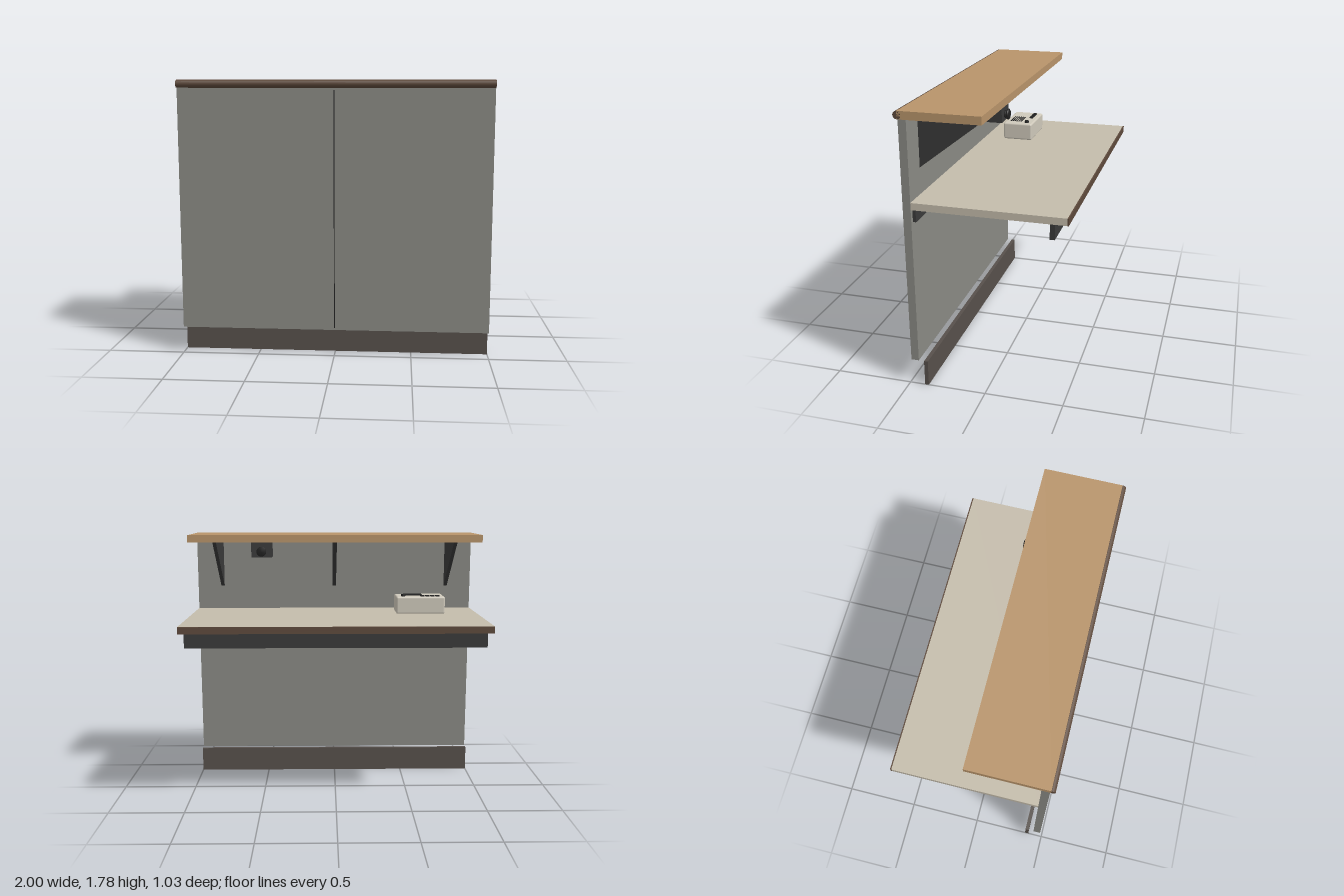
import * as THREE from 'three';
import { RoundedBoxGeometry } from 'three/addons/geometries/RoundedBoxGeometry.js';

const mat = (color) => new THREE.MeshStandardMaterial({ color });
const wood = mat(0xb8946a);
const brown = mat(0x5e4a3c);
const panelGrey = mat(0x8a8a84);
const kickGrey = mat(0x57504b);
const laminate = mat(0xc4bcab);
const steel = mat(0x3a3a3a);
const black = mat(0x222222);
const casing = mat(0xcfc9bb);

export function createModel() {
  const root = new THREE.Group();

  const add = (name, geometry, material, parent = root) => {
    const mesh = new THREE.Mesh(geometry, material);
    mesh.name = name;
    parent.add(mesh);
    return mesh;
  };
  // Box given by its lower and upper limits on each axis
  const box = (name, material, [x0, x1], [y0, y1], [z0, z1], parent) => {
    const g = new THREE.BoxGeometry(x1 - x0, y1 - y0, z1 - z0);
    g.translate((x0 + x1) / 2, (y0 + y1) / 2, (z0 + z1) / 2);
    return add(name, g, material, parent);
  };
  const group = (name) => {
    const g = new THREE.Group();
    g.name = name;
    root.add(g);
    return g;
  };

  // Front panel, its centre joint and the recessed plinth
  box('frontPanel', panelGrey, [-1, 1], [0.17, 1.735], [0.435, 0.485]);
  box('panelJoint', black, [-0.003, 0.003], [0.185, 1.72], [0.48, 0.486]);
  box('plinth', kickGrey, [-1, 1], [0, 0.17], [0.375, 0.4]);

  // Raised counter top with a rounded front nosing
  box('counterTop', wood, [-1, 1], [1.735, 1.785], [-0.015, 0.49]);
  const nosing = new THREE.CylinderGeometry(0.025, 0.025, 2, 24);
  nosing.rotateZ(Math.PI / 2);
  add('counterNosing', nosing, brown).position.set(0, 1.76, 0.49);

  // Work surface with edge band and support rails
  box('workSurface', laminate, [-1, 1], [1.19, 1.235], [-0.507, 0.435]);
  box('workSurfaceEdge', brown, [-1, 1], [1.19, 1.235], [-0.515, -0.507]);
  box('wallRail', steel, [-0.975, 0.975], [1.105, 1.19], [0.415, 0.435]);
  box('outerRail', steel, [-0.975, 0.975], [1.085, 1.19], [-0.43, -0.4]);

  // Triangular brackets under the counter
  const tri = new THREE.Shape([[-0.435, 1.735], [-0.435, 1.4], [0, 1.735]]
    .map(([a, b]) => new THREE.Vector2(a, b)));
  const bracket = new THREE.ExtrudeGeometry(tri, { depth: 0.024, bevelEnabled: false });
  bracket.translate(0, 0, -0.012);
  bracket.rotateY(Math.PI / 2);
  for (const x of [-0.82, 0, 0.82]) add('counterBracket', bracket, steel).position.x = x;

  // Lock housing with a turning knob
  const lock = group('lock');
  box('lockHousing', steel, [0.43, 0.57], [1.635, 1.735], [0, 0.1], lock);
  const knobProfile = [[0, 0], [0.024, 0], [0.024, 0.006], [0.014, 0.008], [0.014, 0.013],
    [0.028, 0.014], [0.033, 0.019], [0.033, 0.024], [0.027, 0.029], [0, 0.03]]
    .map(([r, h]) => new THREE.Vector2(r, h));
  const knob = new THREE.LatheGeometry(knobProfile, 24);
  knob.rotateX(-Math.PI / 2);
  add('lockKnob', knob, black, lock).position.set(0.5, 1.675, 0);

  // Desk intercom: rounded case, speaker slats, button row and call button
  const intercom = group('intercom');
  add('intercomCase', new RoundedBoxGeometry(0.34, 0.12, 0.21, 3, 0.012), casing, intercom)
    .position.set(-0.6, 1.295, 0.185);
  for (let i = 0; i < 6; i++) {
    const z = 0.172 + i * 0.015;
    box('speakerSlat', black, [-0.62, -0.49], [1.35, 1.358], [z, z + 0.007], intercom);
  }
  for (let i = 0; i < 4; i++) {
    const x = -0.735 + i * 0.035;
    box('lineButton', black, [x, x + 0.028], [1.35, 1.361], [0.115, 0.14], intercom);
  }
  add('callButton', new THREE.CylinderGeometry(0.014, 0.016, 0.018, 20), black, intercom)
    .position.set(-0.48, 1.361, 0.128);

  return root;
}
